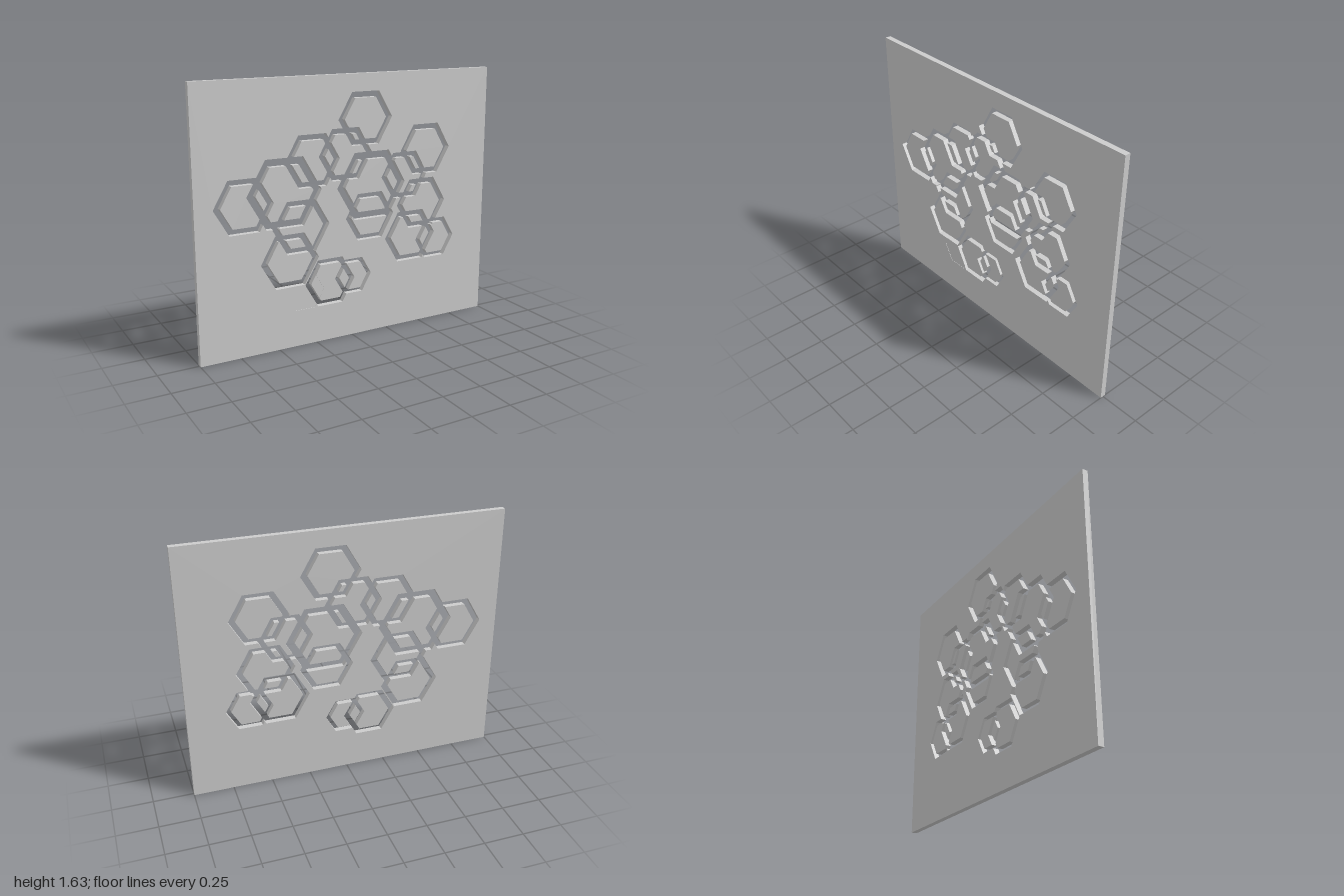
import * as THREE from 'three';

const WIDTH = 2, HEIGHT = 1.633, DEPTH = 0.036, RECESS = 0.002;
const INNER = 0.77; // inner radius of a cut hexagon outline, relative to its outer radius

// Hexagon outlines cut through the panel: centre x, centre y, outer radius
const RINGS = [
  [0.095, 1.365, 0.186], [0.531, 1.143, 0.182], [-0.264, 1.138, 0.182],
  [-0.446, 0.964, 0.241], [-0.703, 0.915, 0.186], [-0.042, 1.158, 0.182],
  [0.140, 0.951, 0.241], [0.128, 0.757, 0.170], [0.378, 0.990, 0.168],
  [0.507, 0.797, 0.182], [0.427, 0.590, 0.187], [0.617, 0.551, 0.148],
  [-0.342, 0.749, 0.187], [-0.419, 0.549, 0.190], [-0.151, 0.377, 0.170],
  [0.009, 0.388, 0.128],
].map(([x, y, r]) => ({ x, y, r, inner: r * INNER }));

// Full hexagon sunk slightly into the front face
const RECESSED = { x: -0.323, y: 0.34, r: 0.128, inner: 0 };

function hexagon(x, y, r) {
  return Array.from({ length: 6 }, (_, i) =>
    new THREE.Vector2(x + r * Math.cos(i * Math.PI / 3), y + r * Math.sin(i * Math.PI / 3)));
}

// True where a point lies in the band of any hexagon outline
function isCut(cuts, px, py) {
  return cuts.some(({ x, y, r, inner }) => {
    const dx = Math.abs(px - x), dy = Math.abs(py - y);
    const d = Math.max(dy / Math.sin(Math.PI / 3), dx + dy / Math.sqrt(3));
    return d < r && d > inner;
  });
}

// Outline loops of the material left by the cuts, with the material on the left side
function outlineLoops(cuts) {
  const edges = [];
  for (const { x, y, r, inner } of cuts) {
    for (const radius of inner ? [r, inner] : [r]) {
      const p = hexagon(x, y, radius);
      p.forEach((a, i) => {
        const b = p[(i + 1) % 6];
        edges.push({ a, b, stops: [[0, a], [1, b]] });
      });
    }
  }
  // split all edges where they cross
  for (let i = 0; i < edges.length; i++) {
    for (let j = 0; j < i; j++) {
      const e = edges[i], f = edges[j];
      const u = e.b.clone().sub(e.a), v = f.b.clone().sub(f.a), w = f.a.clone().sub(e.a);
      const det = u.cross(v);
      if (Math.abs(det) < 1e-9) continue;
      const s = w.cross(v) / det, t = w.cross(u) / det;
      if (s <= 0 || s >= 1 || t <= 0 || t >= 1) continue;
      const point = e.a.clone().addScaledVector(u, s);
      e.stops.push([s, point]);
      f.stops.push([t, point]);
    }
  }
  // keep the pieces that separate material from a cut
  const next = new Map();
  for (const { a, b, stops } of edges) {
    const n = new THREE.Vector2(a.y - b.y, b.x - a.x).setLength(1e-5);
    stops.sort((p, q) => p[0] - q[0]);
    for (let k = 1; k < stops.length; k++) {
      const p = stops[k - 1][1], q = stops[k][1];
      const mx = (p.x + q.x) / 2, my = (p.y + q.y) / 2;
      const left = isCut(cuts, mx + n.x, my + n.y), right = isCut(cuts, mx - n.x, my - n.y);
      if (!left && right) next.set(p, q);
      if (left && !right) next.set(q, p);
    }
  }
  // chain the pieces
  const loops = [];
  while (next.size) {
    const loop = [];
    let p = next.keys().next().value;
    while (next.has(p)) {
      const q = next.get(p);
      next.delete(p);
      loop.push(p);
      p = q;
    }
    if (loop.length > 2) loops.push(loop);
  }
  return loops;
}

function contains(loop, p) {
  let inside = false;
  loop.forEach((a, i) => {
    const b = loop[(i + 1) % loop.length];
    if ((a.y > p.y) !== (b.y > p.y) && p.x < a.x + (b.x - a.x) * (p.y - a.y) / (b.y - a.y)) inside = !inside;
  });
  return inside;
}

// One slab of the panel with its loose inlays, between two depths
function slab(name, cuts, z0, z1) {
  const group = new THREE.Group();
  group.name = name;
  const w = WIDTH / 2;
  const rectangle = [[-w, 0], [w, 0], [w, HEIGHT], [-w, HEIGHT]].map(([x, y]) => new THREE.Vector2(x, y));
  const loops = outlineLoops(cuts);
  const area = THREE.ShapeUtils.area;
  const solids = [rectangle, ...loops.filter(l => area(l) > 0)]
    .map(points => ({ points, area: area(points), shape: new THREE.Shape(points) }))
    .sort((a, b) => a.area - b.area);
  for (const hole of loops.filter(l => area(l) < 0)) {
    const owner = solids.find(s => s.area > -area(hole) && contains(s.points, hole[0]));
    if (owner) owner.shape.holes.push(new THREE.Path(hole));
  }
  const material = new THREE.MeshStandardMaterial({ color: 0xcccccc });
  for (const { points, shape } of solids) {
    const geometry = new THREE.ExtrudeGeometry(shape, { depth: z1 - z0, bevelEnabled: false });
    const mesh = new THREE.Mesh(geometry, material);
    mesh.name = points === rectangle ? 'panel' : 'hexagonInlay';
    mesh.position.z = z0;
    group.add(mesh);
  }
  return group;
}

export function createModel() {
  const model = new THREE.Group();
  model.name = 'hexagonScreen';
  const front = DEPTH / 2, step = front - RECESS;
  model.add(slab('body', RINGS, -front, step));
  model.add(slab('frontSkin', [...RINGS, RECESSED], step, front));
  return model;
}
